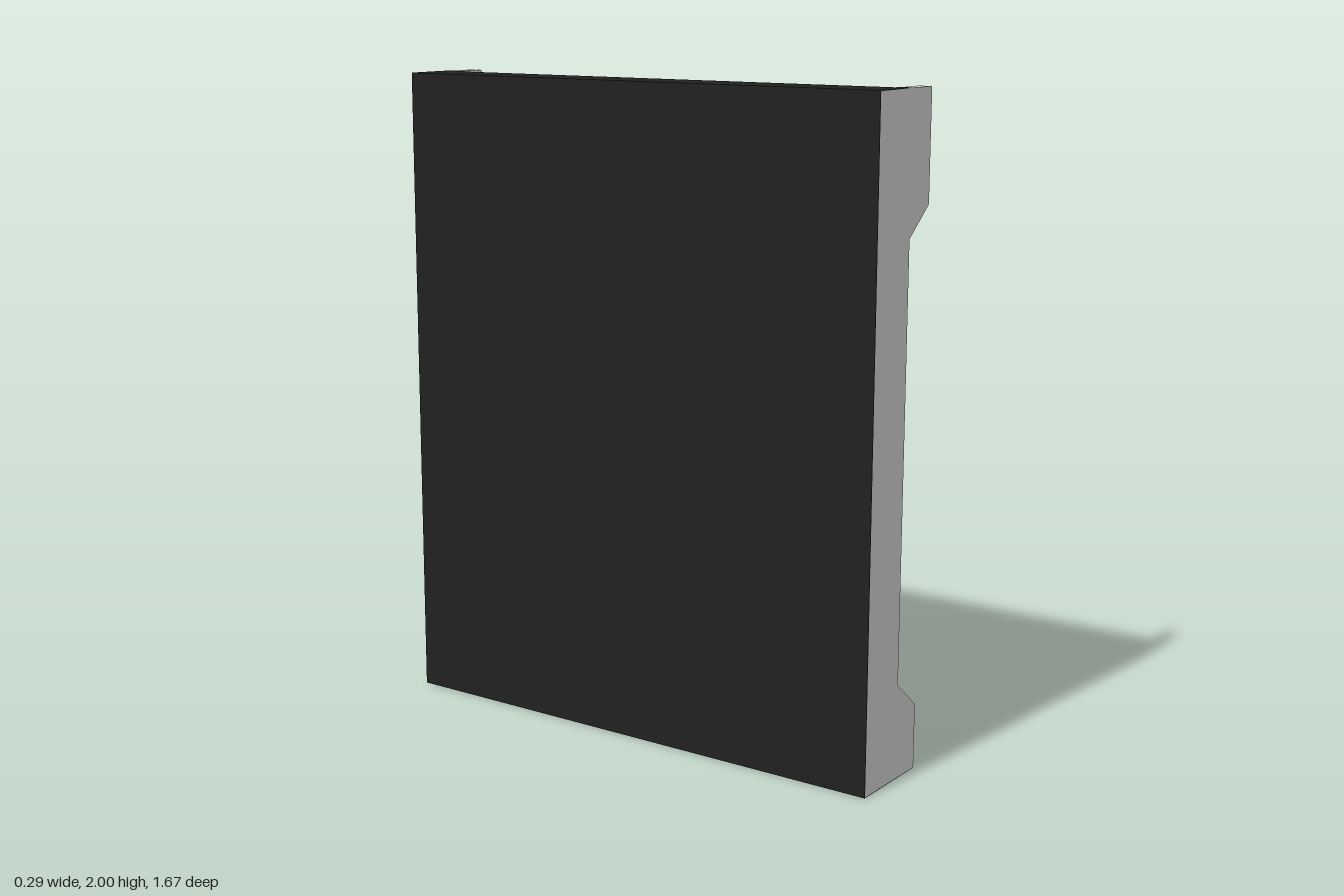
import * as THREE from 'three';

const grey = new THREE.MeshStandardMaterial({ color: 0xcccccc, flatShading: true });
const black = new THREE.MeshStandardMaterial({ color: 0x202020, flatShading: true });

const toShape = (pts) => new THREE.Shape(pts.map(([x, y]) => new THREE.Vector2(x, y)));

function extrude(shape, depth) {
  return new THREE.ExtrudeGeometry(shape, { depth, bevelEnabled: false });
}

function add(parent, name, geometry, material = grey) {
  const mesh = new THREE.Mesh(geometry, material);
  mesh.name = name;
  parent.add(mesh);
  return mesh;
}

function box(parent, name, x0, x1, y0, y1, z0, z1, material = grey) {
  const mesh = add(parent, name, new THREE.BoxGeometry(x1 - x0, y1 - y0, z1 - z0), material);
  mesh.position.set((x0 + x1) / 2, (y0 + y1) / 2, (z0 + z1) / 2);
  return mesh;
}

// Rectangle with cut corners, as [u, y] points
function cutRect(u0, u1, y0, y1, c) {
  return [[u0 + c, y0], [u1 - c, y0], [u1, y0 + c], [u1, y1 - c],
    [u1 - c, y1], [u0 + c, y1], [u0, y1 - c], [u0, y0 + c]];
}

// Shrink an outline towards the middle of its bounds, leaving a groove g wide
function shrink(pts, g) {
  const ranges = [0, 1].map((i) => {
    const v = pts.map((p) => p[i]);
    return [Math.min(...v), Math.max(...v)];
  });
  return pts.map((p) => p.map((v, i) => {
    const [lo, hi] = ranges[i], mid = (lo + hi) / 2;
    return mid + (v - mid) * (1 - 2 * g / (hi - lo));
  }));
}

// Sheet facing +x, drawn in u = -z and y, with hatches outlined by grooves
function skin(parent, name, x, depth, u0, u1, y0, y1, hatches = []) {
  const shape = toShape([[u0, y0], [u1, y0], [u1, y1], [u0, y1]]);
  const group = new THREE.Group();
  group.name = name;
  hatches.forEach((pts) => {
    shape.holes.push(toShape(pts));
    add(group, name + 'Hatch', extrude(toShape(shrink(pts, 0.007)), depth));
  });
  add(group, name + 'Sheet', extrude(shape, depth));
  group.rotation.y = Math.PI / 2;
  group.position.x = x - depth;
  parent.add(group);
}

export function createModel() {
  const root = new THREE.Group();
  root.name = 'wallPanel';
  const B = -0.142, F = 0.142, W = 0.796, Z = 0.835, D = 0.015;

  // Core with its stepped front, run across the full width
  const core = add(root, 'core', extrude(toShape([
    [B, 0.002], [0.104, 0.002], [0.009, 0.11], [-0.01, 0.12],
    [-0.01, 0.145], [-0.03, 0.145], [-0.03, 0.16], [-0.01, 0.16], [-0.01, 0.172],
    [-0.03, 0.19], [-0.045, 0.195], [-0.045, 0.222], [0.02, 0.265],
    [0.02 - D, 0.265], [0.02 - D, 1.085], [0.02, 1.085], [-0.07, 1.2],
    [-0.07 - D, 1.2], [-0.07 - D, 1.545], [-0.07, 1.545], [0.01, 1.628],
    [0.02, 1.645], [0.02 - D, 1.645], [0.02 - D, 1.998], [B, 1.998],
  ]), 2 * W));
  core.position.z = -W;

  // Front sheets with their hatches
  skin(root, 'topPanel', 0.02, D, -W, W, 1.645, 1.998, [[
    [-0.742, 1.668], [-0.4, 1.668], [-0.355, 1.71], [0.742, 1.71], [0.742, 1.996], [-0.742, 1.996],
  ]]);
  skin(root, 'upperPanel', -0.07, D, -W, W, 1.2, 1.545, [cutRect(0.257, 0.725, 1.317, 1.53, 0.025)]);
  skin(root, 'lowerPanel', 0.02, D, -W, W, 0.265, 1.085, [[
    [-0.794, 0.294], [-0.68, 0.294], [-0.648, 0.326], [-0.648, 0.636], [-0.68, 0.668], [-0.794, 0.668],
  ]]);

  // Sloping sill in four lengths, one with a hatch
  const sill = new THREE.Group();
  sill.name = 'sill';
  const seams = [-W, -0.68, 0.005, 0.67, W];
  for (let i = 0; i < 4; i++) {
    const hatch = i === 2 ? [cutRect(0.035, 0.23, 0.058, 0.126, 0.02)] : [];
    skin(sill, 'sillPlate', 0, D, seams[i] + 0.003, seams[i + 1] - 0.003, 0, 0.145, hatch);
  }
  sill.position.set(0.115, 0.01, 0);
  sill.rotation.z = Math.atan2(0.095, 0.11);
  root.add(sill);
  box(root, 'sillLip', 0.09, 0.115, 0.002, 0.012, -W, W);

  // Latch in the ledge above the sill
  box(root, 'latch', -0.05, 0, 0.145, 0.193, -0.035, 0.035);

  // Bolts on the overhang
  [-0.755, 0, 0.755].forEach((z) => {
    const bolt = add(root, 'bolt', new THREE.CylinderGeometry(0.008, 0.008, 0.012, 8));
    bolt.position.set(-0.051, 1.565, z);
    bolt.rotation.z = -Math.PI * 0.75;
  });

  // End plates: two rims with a recessed strip between them
  const endOutline = (d) => toShape([
    [B, 0.001], [F - d, 0.001], [F - d, 0.2 - d * 0.4], [0.035 - d, 0.287 - d * 0.4],
    [0.035 - d, 1.585 + d * 0.4], [F - d, 1.672 + d * 0.4], [F - d, 1.999], [B, 1.999],
  ]);
  const layers = [[0.795, 0.808, 0], [0.808, 0.822, 0.012], [0.822, Z, 0]];
  for (const s of [-1, 1]) {
    const plate = new THREE.Group();
    plate.name = s > 0 ? 'frontEndPlate' : 'backEndPlate';
    layers.forEach(([z0, z1, inset]) => {
      const layer = add(plate, inset ? 'endGroove' : 'endRim', extrude(endOutline(inset), z1 - z0));
      layer.position.z = s > 0 ? z0 : -z1;
    });
    root.add(plate);
    const [z0, z1] = s > 0 ? [W, Z] : [-Z, -W];
    box(root, 'topCapEnd', 0.005, 0.03, 1.998, 2, z0, z1, black);
    box(root, 'bottomCapEnd', 0.115, 0.138, 0, 0.002, z0, z1, black);
  }

  // Dark back, top and bottom
  box(root, 'backSheet', B - 0.002, B, 0, 2, -Z, Z, black);
  box(root, 'topCap', B, 0.005, 1.998, 2, -Z, Z, black);
  box(root, 'bottomCap', B, 0.115, 0, 0.002, -Z, Z, black);
  return root;
}
